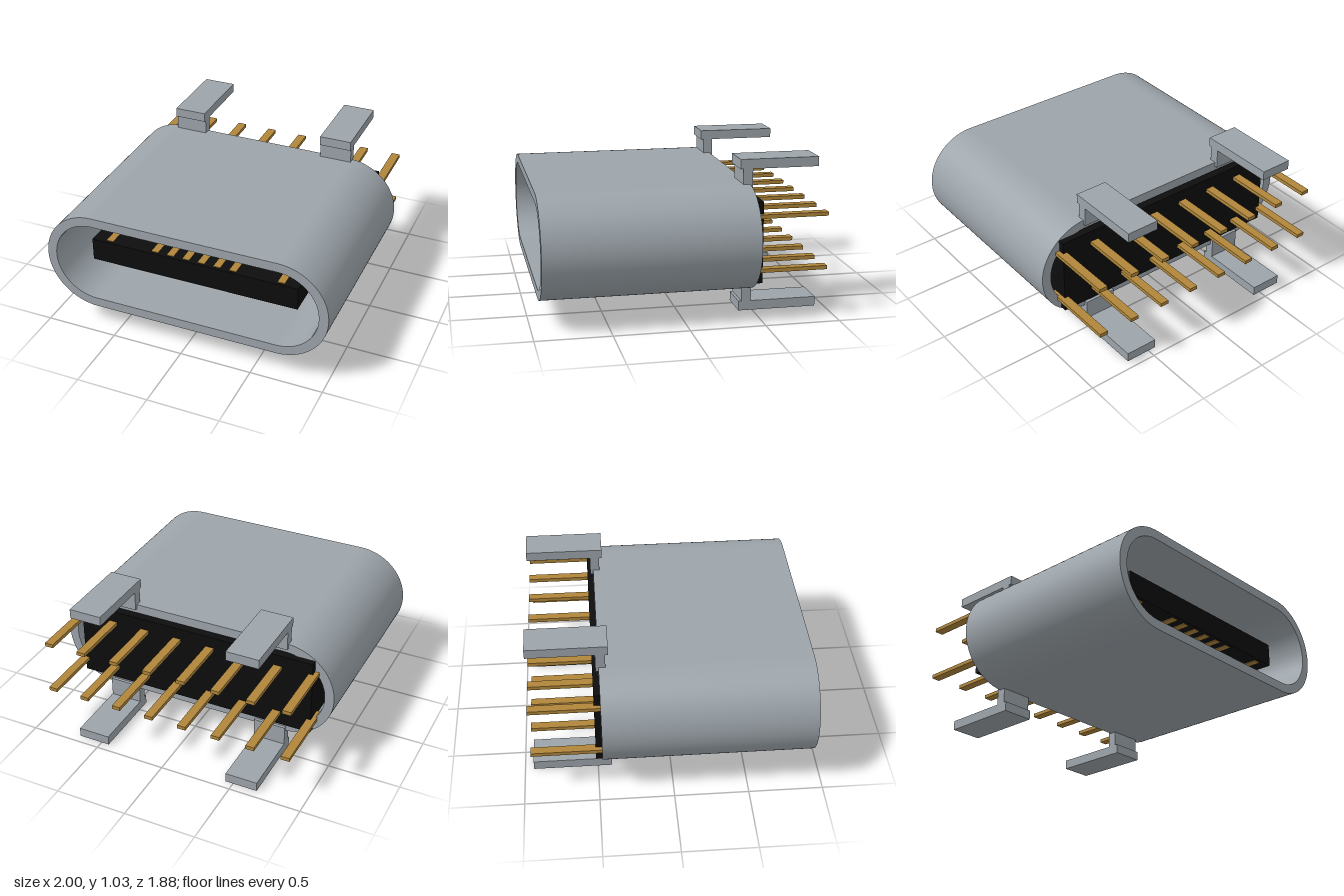
import * as THREE from 'three';
import { toCreasedNormals } from 'three/addons/utils/BufferGeometryUtils.js';

const MID = 0.517; // height of the connector axis

export function createModel() {
  const group = new THREE.Group();
  const steel = new THREE.MeshStandardMaterial({ name: 'steel', color: 0x9ca4aa });
  const plastic = new THREE.MeshStandardMaterial({ name: 'black plastic', color: 0x0d0d0d });
  const gold = new THREE.MeshStandardMaterial({ name: 'gold', color: 0xb0863a });

  // box given by its min and max corners, y measured from the axis
  function box(name, material, [x0, y0, z0], [x1, y1, z1]) {
    const mesh = new THREE.Mesh(new THREE.BoxGeometry(x1 - x0, y1 - y0, z1 - z0), material);
    mesh.position.set((x0 + x1) / 2, MID + (y0 + y1) / 2, (z0 + z1) / 2);
    mesh.name = name;
    group.add(mesh);
  }

  // stadium outline traced onto a shape or a hole path
  function stadium(path, r) {
    path.moveTo(-0.65, -r);
    path.lineTo(0.65, -r);
    path.absarc(0.65, 0, r, -Math.PI / 2, Math.PI / 2, false);
    path.lineTo(-0.65, r);
    path.absarc(-0.65, 0, r, Math.PI / 2, Math.PI * 1.5, false);
    return path;
  }

  // hollow metal shell, open at both ends
  const outline = stadium(new THREE.Shape(), 0.35);
  outline.holes.push(stadium(new THREE.Path(), 0.285));
  const shellGeometry = new THREE.ExtrudeGeometry(outline, { depth: 1.41, bevelEnabled: false, curveSegments: 32 });
  const shell = new THREE.Mesh(toCreasedNormals(shellGeometry, 0.6), steel);
  shell.position.set(0, MID, -0.47);
  shell.name = 'shell';
  group.add(shell);

  // insulator block and the tongue that reaches forward from it
  box('insulatorBlock', plastic, [-0.86, -0.273, -0.512], [0.86, 0.273, -0.1]);
  box('tongue', plastic, [-0.74, -0.08, -0.1], [0.74, 0.08, 0.79]);

  for (const side of [-1, 1]) {
    // contacts on both faces of the tongue
    for (const x of [0.055, 0.168, 0.281, 0.617]) {
      for (const y of [-0.08, 0.08]) {
        box('contact', gold, [side * x - 0.024, y - 0.004, -0.1], [side * x + 0.024, y + 0.004, 0.77]);
      }
    }
    // two rows of rear pins
    for (const x of [0.123, 0.369, 0.615, 0.861]) {
      for (const y of [-0.181, 0.181]) {
        box('pin', gold, [side * x - 0.03, y - 0.013, -0.94], [side * x + 0.03, y + 0.013, -0.4]);
      }
    }
    // L-shaped mounting tabs above and below
    const x0 = side * 0.5575 - 0.1125, x1 = side * 0.5575 + 0.1125;
    box('upperTabPost', steel, [x0, 0.317, -0.49], [x1, 0.452, -0.425]);
    box('upperTabPlate', steel, [x0, 0.452, -0.94], [x1, 0.517, -0.405]);
    box('lowerTabPost', steel, [x0, -0.452, -0.49], [x1, -0.317, -0.425]);
    box('lowerTabPlate', steel, [x0, -0.517, -0.94], [x1, -0.452, -0.405]);
  }
  return group;
}
